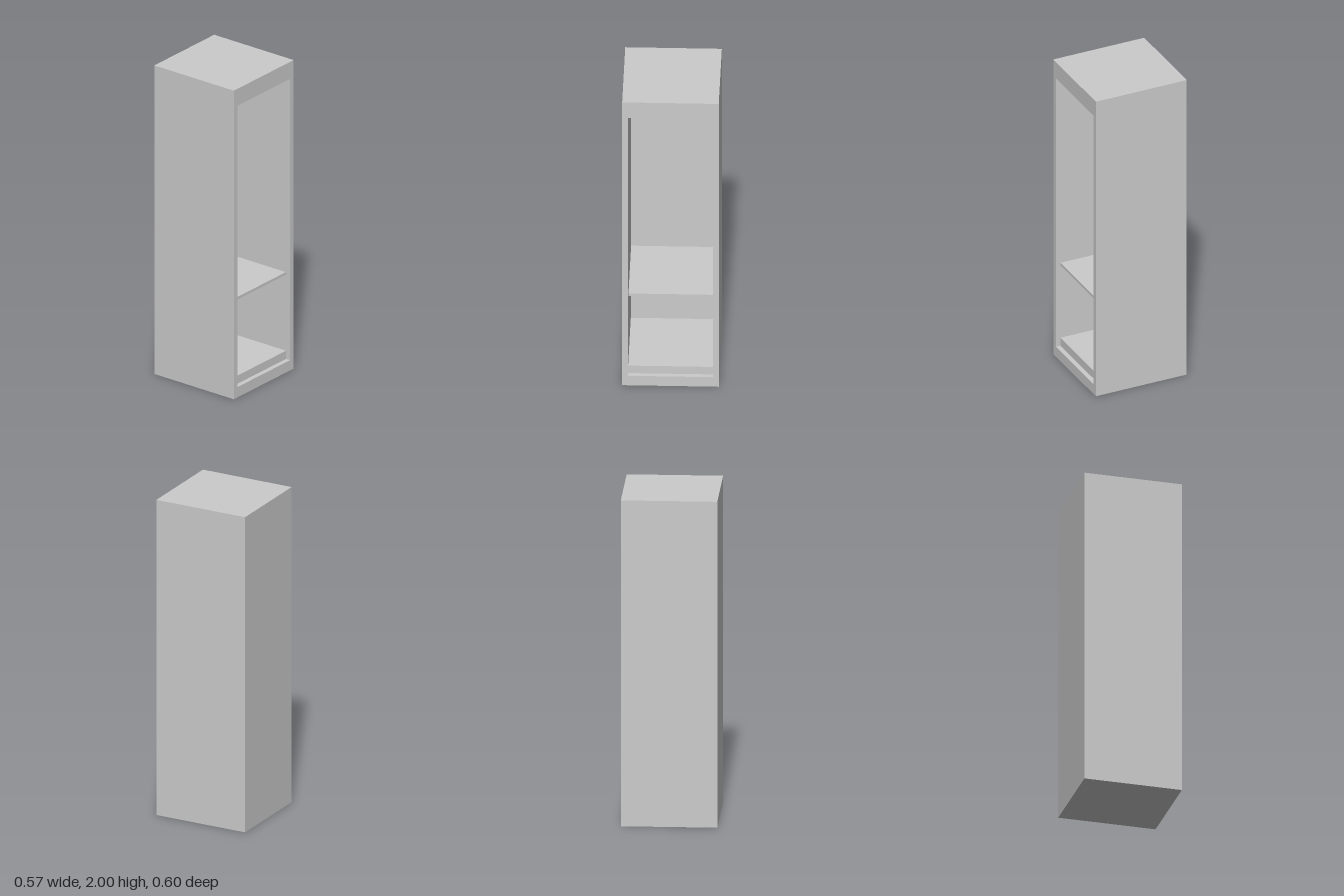
import * as THREE from 'three';

const W = 0.573, H = 2, D = 0.6;          // outer cabinet size
const IN = 0.252;                         // half width of the opening
const FLOOR = 0.067, CEILING = 1.89;      // opening bottom and top
const BACK = -0.25;                       // inner face of the back panel
const INSET = 0.27;                       // front edge of shelf and plinth

export function createModel() {
  const model = new THREE.Group();
  model.name = 'openCabinet';
  const material = new THREE.MeshStandardMaterial({ color: 0xcccccc });

  const add = (name, geometry) => {
    const mesh = new THREE.Mesh(geometry, material);
    mesh.name = name;
    model.add(mesh);
    return mesh;
  };
  // Box given by its half width and its y and z ranges
  const slab = (name, half, y0, y1, z0, z1) =>
    add(name, new THREE.BoxGeometry(half * 2, y1 - y0, z1 - z0))
      .position.set(0, (y0 + y1) / 2, (z0 + z1) / 2);

  const rect = (path, half, y0, y1) =>
    path.moveTo(-half, y0).lineTo(half, y0).lineTo(half, y1).lineTo(-half, y1).closePath();

  // Carcass: sides, top and bottom as one frame around the opening
  const outline = rect(new THREE.Shape(), W / 2, 0, H);
  outline.holes.push(rect(new THREE.Path(), IN, FLOOR, CEILING));
  add('carcass', new THREE.ExtrudeGeometry(outline, { depth: D / 2 - BACK, bevelEnabled: false }))
    .position.z = BACK;

  // Panel closing the rear
  slab('backPanel', W / 2, 0, H, -D / 2, BACK);

  // Shelf and raised floor, both set back from the front
  slab('shelf', 0.25, 0.613, 0.63, BACK, INSET);
  slab('raisedFloor', IN, FLOOR, 0.12, BACK, INSET);

  return model;
}
